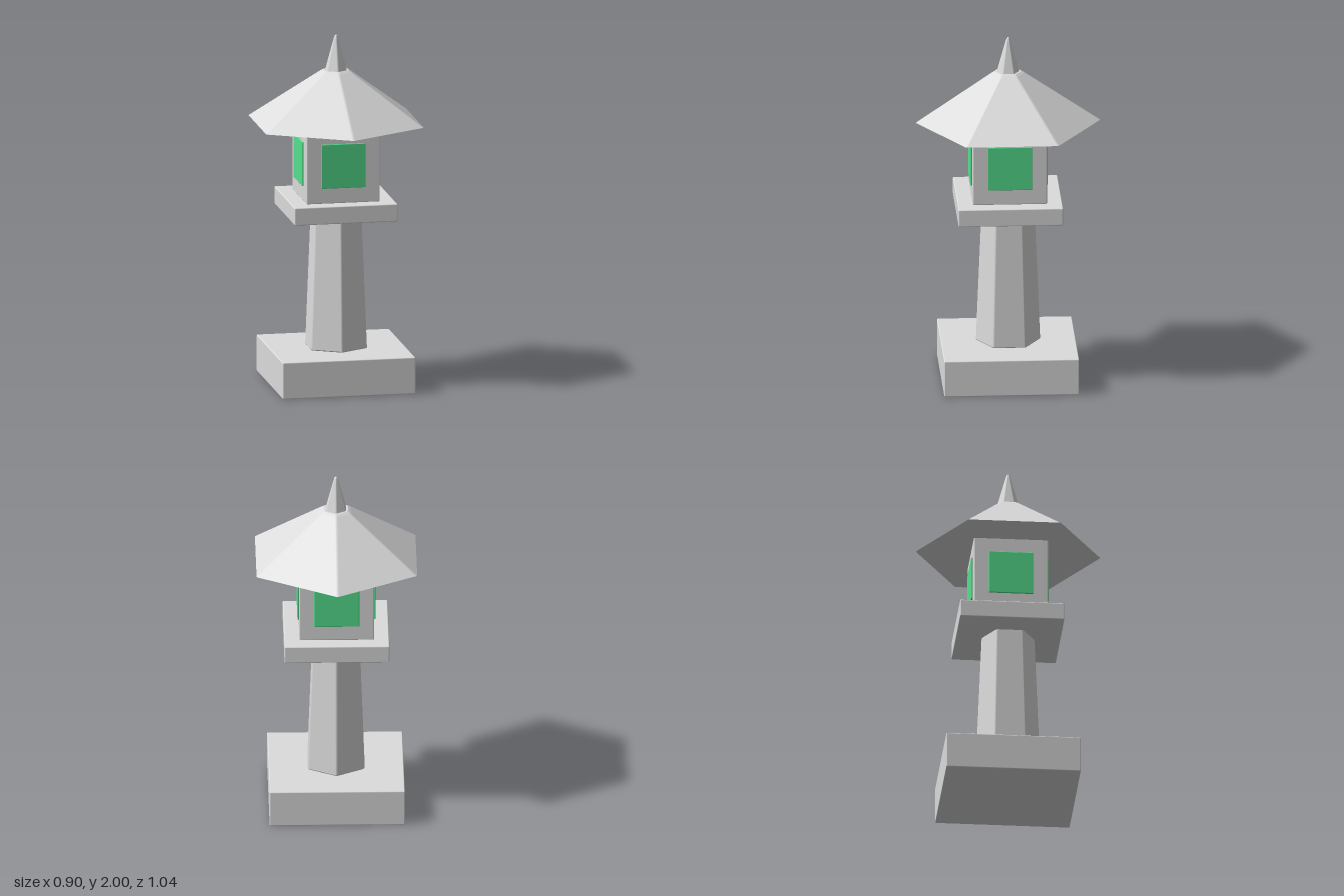
import * as THREE from 'three';
import { RoundedBoxGeometry } from 'three/addons/geometries/RoundedBoxGeometry.js';

// Six-sided solid with softened corners, lofted through [apothem, y] pairs from bottom to top
function hexLoft(profile, corner) {
  const pos = [], nor = [], idx = [];
  const thetas = [];
  for (let k = 0; k < 6; k++) {
    for (const d of [-30, -10, 10, 30]) thetas.push([k * 60, k * 60 + d]);
  }
  const n = thetas.length;

  const addRing = ([a, y], slopeXZ, slopeY) => {
    const start = pos.length / 3;
    const r = Math.min(corner, a * 0.5);
    for (const [c, t] of thetas) {
      const ca = THREE.MathUtils.degToRad(c), ta = THREE.MathUtils.degToRad(t);
      const d = (a - r) / Math.cos(Math.PI / 6);
      pos.push(d * Math.sin(ca) + r * Math.sin(ta), y, d * Math.cos(ca) + r * Math.cos(ta));
      nor.push(slopeXZ * Math.sin(ta), slopeY, slopeXZ * Math.cos(ta));
    }
    return start;
  };

  // sloping sides
  for (let s = 0; s < profile.length - 1; s++) {
    const [a0, y0] = profile[s], [a1, y1] = profile[s + 1];
    const len = Math.hypot(a1 - a0, y1 - y0);
    const nx = (y1 - y0) / len, ny = (a0 - a1) / len;
    const lo = addRing(profile[s], nx, ny), hi = addRing(profile[s + 1], nx, ny);
    for (let i = 0; i < n; i++) {
      const j = (i + 1) % n;
      idx.push(lo + i, lo + j, hi + j, lo + i, hi + j, hi + i);
    }
  }

  // flat ends
  const bottom = addRing(profile[0], 0, -1);
  const top = addRing(profile[profile.length - 1], 0, 1);
  for (let i = 1; i < n - 1; i++) {
    idx.push(bottom, bottom + i + 1, bottom + i, top, top + i, top + i + 1);
  }

  const g = new THREE.BufferGeometry();
  g.setAttribute('position', new THREE.Float32BufferAttribute(pos, 3));
  g.setAttribute('normal', new THREE.Float32BufferAttribute(nor, 3));
  g.setIndex(idx);
  return g;
}

export function createModel() {
  const model = new THREE.Group();
  model.name = 'stoneLantern';

  const stone = new THREE.MeshStandardMaterial({ color: 0xdcdcdc });
  stone.name = 'stone';
  const glow = new THREE.MeshStandardMaterial({ color: 0x55e18f });
  glow.name = 'greenGlass';

  const add = (name, geometry, material = stone, parent = model) => {
    const mesh = new THREE.Mesh(geometry, material);
    mesh.name = name;
    parent.add(mesh);
    return mesh;
  };

  // square block between two heights, edges slightly eased
  const block = (name, width, y0, y1) => {
    add(name, new RoundedBoxGeometry(width, y1 - y0, width, 2, 0.006)).position.y = (y0 + y1) / 2;
  };

  block('base', 0.76, 0, 0.21);
  add('pillar', hexLoft([[0.154, 0.205], [0.16, 0.215], [0.132, 0.985]], 0.015));
  block('platform', 0.59, 0.977, 1.078);
  block('lampHouse', 0.42, 1.077, 1.507);

  // one glowing pane on each side of the lamp house
  ['front', 'left', 'back', 'right'].forEach((side, i) => {
    const turn = new THREE.Group();
    turn.name = side + 'Window';
    turn.rotation.y = i * Math.PI / 2;
    add('pane', new RoundedBoxGeometry(0.254, 0.254, 0.0098, 2, 0.004), glow, turn)
      .position.set(0, 1.292, 0.2146);
    model.add(turn);
  });

  // wide hexagonal roof with a small pointed finial
  add('roof', hexLoft([[0.451, 1.502], [0.083, 1.79], [0.067, 1.8]], 0.016));
  add('finial', hexLoft([[0.057, 1.799], [0.013, 1.98], [0.008, 1.994], [0.002, 2]], 0.012));

  return model;
}
